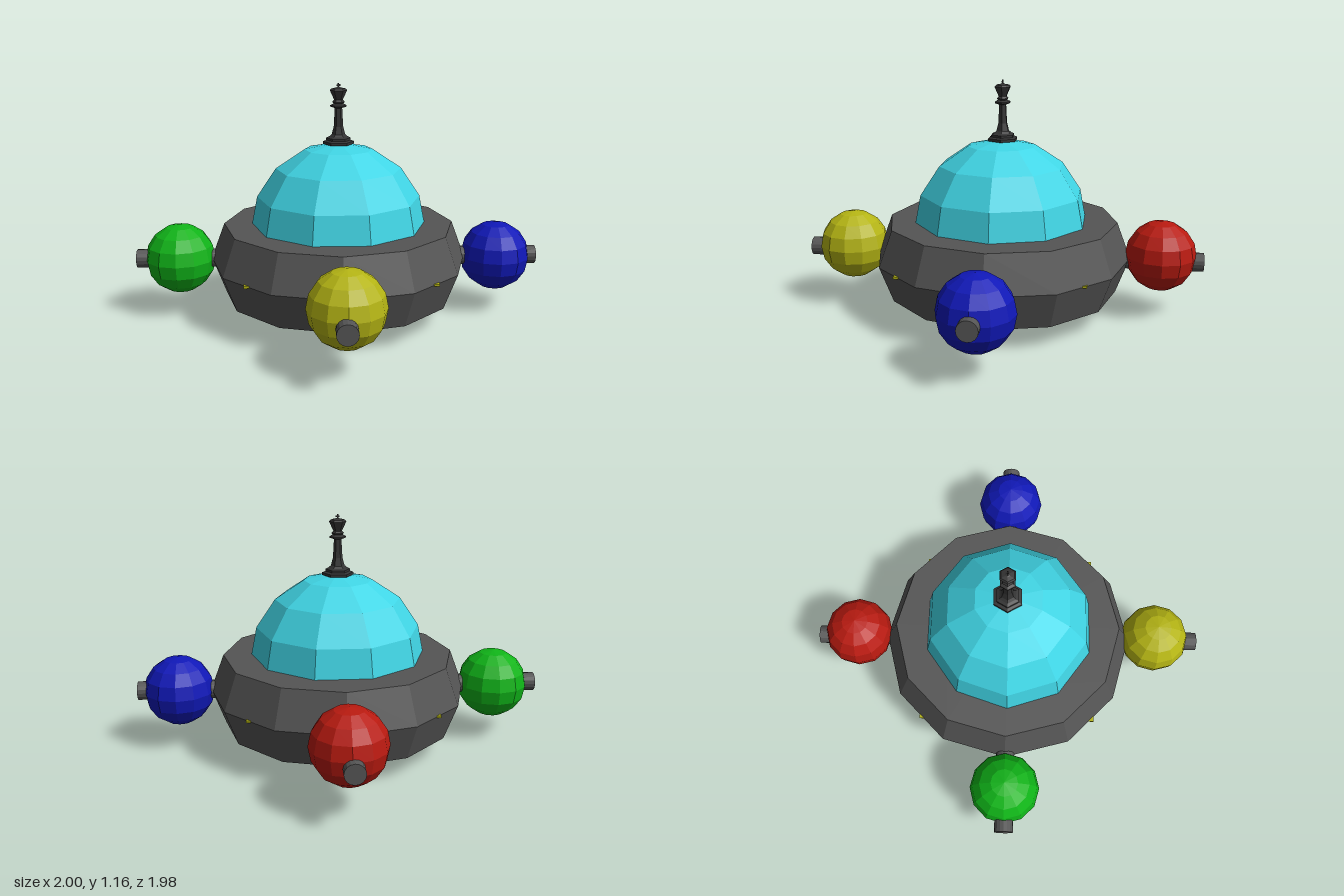
import * as THREE from 'three';

const mat = (color) => new THREE.MeshStandardMaterial({ color, flatShading: true });

function addMesh(parent, name, geometry, material, x = 0, y = 0, z = 0) {
  const mesh = new THREE.Mesh(geometry, material);
  mesh.name = name;
  mesh.position.set(x, y, z);
  parent.add(mesh);
  return mesh;
}

const lathe = (points, sides) =>
  new THREE.LatheGeometry(points.map(([r, y]) => new THREE.Vector2(r, y)), sides);

export function createModel() {
  const group = new THREE.Group();
  const grey = mat(0x555555);
  const black = mat(0x333333);
  const yellow = mat(0xb4b414);
  const cx = 0.005;

  // Twelve-sided hull ring with a ridge round its middle
  addMesh(group, 'hullRing', lathe([
    [0.35, 0.112], [0.568, 0.112], [0.635, 0.29], [0.568, 0.468], [0.35, 0.468], [0.35, 0.112],
  ], 12), grey, cx);

  // Faceted cabin ball, showing as a dome above and a belly below
  addMesh(group, 'cabinDome', new THREE.SphereGeometry(0.435, 10, 8), mat(0x40d5e5), cx, 0.438, 0.005);

  // Thin inner deck whose corners just reach through the ring
  addMesh(group, 'innerDeck', new THREE.BoxGeometry(0.89, 0.01, 0.89), yellow, cx, 0.29, 0.003);

  // Two crossing axles that carry the balls
  const axleX = addMesh(group, 'sideAxle', new THREE.CylinderGeometry(0.046, 0.046, 2, 16), grey, 0, 0.29, 0);
  axleX.rotation.z = Math.PI / 2;
  const axleZ = addMesh(group, 'lengthAxle', new THREE.CylinderGeometry(0.046, 0.046, 1.98, 16), grey, cx, 0.285, 0);
  axleZ.rotation.x = Math.PI / 2;

  // Coloured balls around the hull
  const ball = new THREE.SphereGeometry(0.173, 12, 8);
  [
    ['leftBall', mat(0x1018b8), 0.797, 0.29, 0],
    ['rightBall', mat(0x10b418), -0.785, 0.292, 0],
    ['frontBall', yellow, 0.012, 0.31, 0.768],
    ['backBall', mat(0xb81a10), 0.012, 0.315, -0.782],
  ].forEach(([name, material, x, y, z]) => addMesh(group, name, ball, material, x, y, z));

  // Six-sided turned finial with a small cross on top
  const finial = new THREE.Group();
  finial.name = 'finial';
  finial.position.set(cx, 0, 0);
  group.add(finial);
  addMesh(finial, 'finialBody', lathe([
    [0, 0.862], [0.076, 0.865], [0.076, 0.878], [0.06, 0.884], [0.06, 0.895], [0.045, 0.902],
    [0.033, 0.912], [0.023, 0.95], [0.018, 1.04], [0.04, 1.047], [0.04, 1.054], [0.024, 1.062],
    [0.03, 1.07], [0.021, 1.08], [0.042, 1.126], [0.034, 1.134], [0.014, 1.138], [0, 1.144],
  ], 6), black).rotation.y = Math.PI / 6;
  addMesh(finial, 'crossUpright', new THREE.BoxGeometry(0.007, 0.024, 0.007), black, 0, 1.148, 0);
  addMesh(finial, 'crossBar', new THREE.BoxGeometry(0.018, 0.007, 0.007), black, 0, 1.15, 0);

  return group;
}
